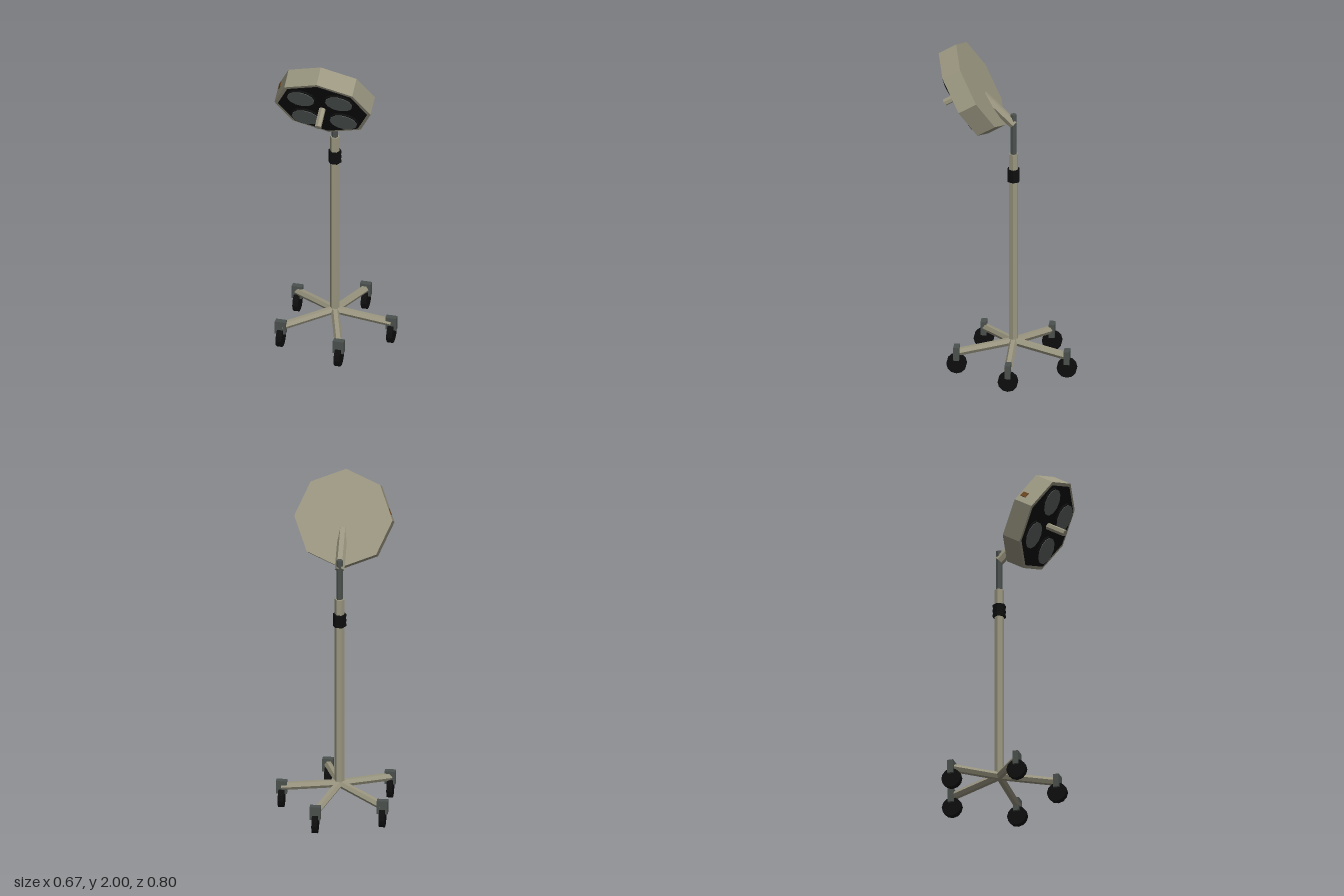
import * as THREE from 'three';

const paint = (name, color) => {
  const m = new THREE.MeshStandardMaterial({ color, flatShading: true });
  m.name = name;
  return m;
};

export function createModel() {
  const beige = paint('beige enamel', 0x9a9680);
  const steel = paint('dark steel', 0x4b514e);
  const black = paint('black rubber', 0x0e0e0e);
  const glass = paint('lamp glass', 0x5c625f);
  const brown = paint('brown button', 0x6b4520);

  const model = new THREE.Group();
  model.name = 'examinationLamp';
  const AX = -0.033, AZ = -0.028; // axis of the pole

  const add = (parent, name, geometry, material, x, y, z) => {
    const mesh = new THREE.Mesh(geometry, material);
    mesh.name = name;
    mesh.position.set(x, y, z);
    parent.add(mesh);
    return mesh;
  };

  // Upright prism on the pole axis, corners towards x
  const upright = (name, r, y0, y1, material) =>
    add(model, name, new THREE.CylinderGeometry(r, r, y1 - y0, 6).rotateY(Math.PI / 2),
      material, AX, (y0 + y1) / 2, AZ);

  // Hexagonal bar between two points, flat side up
  const bar = (name, a, b, r, material) => {
    const geometry = new THREE.CylinderGeometry(r, r, a.distanceTo(b), 6)
      .rotateY(Math.PI / 2).rotateX(Math.PI / 2);
    const mid = a.clone().add(b).multiplyScalar(0.5);
    add(model, name, geometry, material, mid.x, mid.y, mid.z).lookAt(b);
  };

  // Telescopic pole
  upright('lowerPole', 0.028, 0.15, 1.335, beige);
  upright('upperPole', 0.019, 1.3, 1.58, steel);
  upright('collar', 0.037, 1.165, 1.24, black);
  for (const y of [1.165, 1.195, 1.225]) upright('collarRidge', 0.039, y, y + 0.015, black);

  // Five legs with casters that all point the same way
  for (let i = 0; i < 5; i++) {
    const a = i * Math.PI * 2 / 5;
    const x = AX + Math.cos(a) * 0.333, z = AZ - Math.sin(a) * 0.333;
    bar('leg', new THREE.Vector3(AX, 0.165, AZ), new THREE.Vector3(x, 0.127, z), 0.0235, beige);
    add(model, 'casterFork', new THREE.BoxGeometry(0.063, 0.08, 0.034), steel, x, 0.125, z);
    add(model, 'casterWheel', new THREE.CylinderGeometry(0.058, 0.058, 0.034, 12).rotateZ(Math.PI / 2),
      black, x, 0.058, z);
  }

  // Arm from the pole into the back of the head
  bar('headArm', new THREE.Vector3(AX, 1.52, AZ), new THREE.Vector3(AX, 1.70, 0.155), 0.028, beige);

  // Tilted head: its local +z is the direction of the light, origin at the back centre
  const head = new THREE.Group();
  head.name = 'lampHead';
  head.position.set(AX, 1.758, 0.16);
  head.rotation.x = Math.PI / 6;
  model.add(head);
  const disc = (name, r, depth, sides, material, x, y, z) =>
    add(head, name, new THREE.CylinderGeometry(r, r, depth, sides).rotateX(Math.PI / 2),
      material, x, y, z + depth / 2);

  disc('headShell', 0.283, 0.116, 8, beige, 0, 0, 0);
  disc('frontPanel', 0.262, 0.005, 8, black, 0, 0, 0.115);
  for (const x of [-0.112, 0.112]) {
    for (const y of [-0.11, 0.11]) {
      disc('lampRing', 0.087, 0.014, 12, black, x, y, 0.116);
      disc('lampGlass', 0.08, 0.005, 12, glass, x, y, 0.128);
    }
  }
  disc('handle', 0.02, 0.125, 6, beige, 0, 0, 0.115);

  // Small button on the upper facet of the model's right edge
  const button = add(head, 'sideButton', new THREE.BoxGeometry(0.006, 0.035, 0.035), brown, -0.262, 0.052, 0.03);
  button.rotation.z = -Math.PI / 8;

  return model;
}
